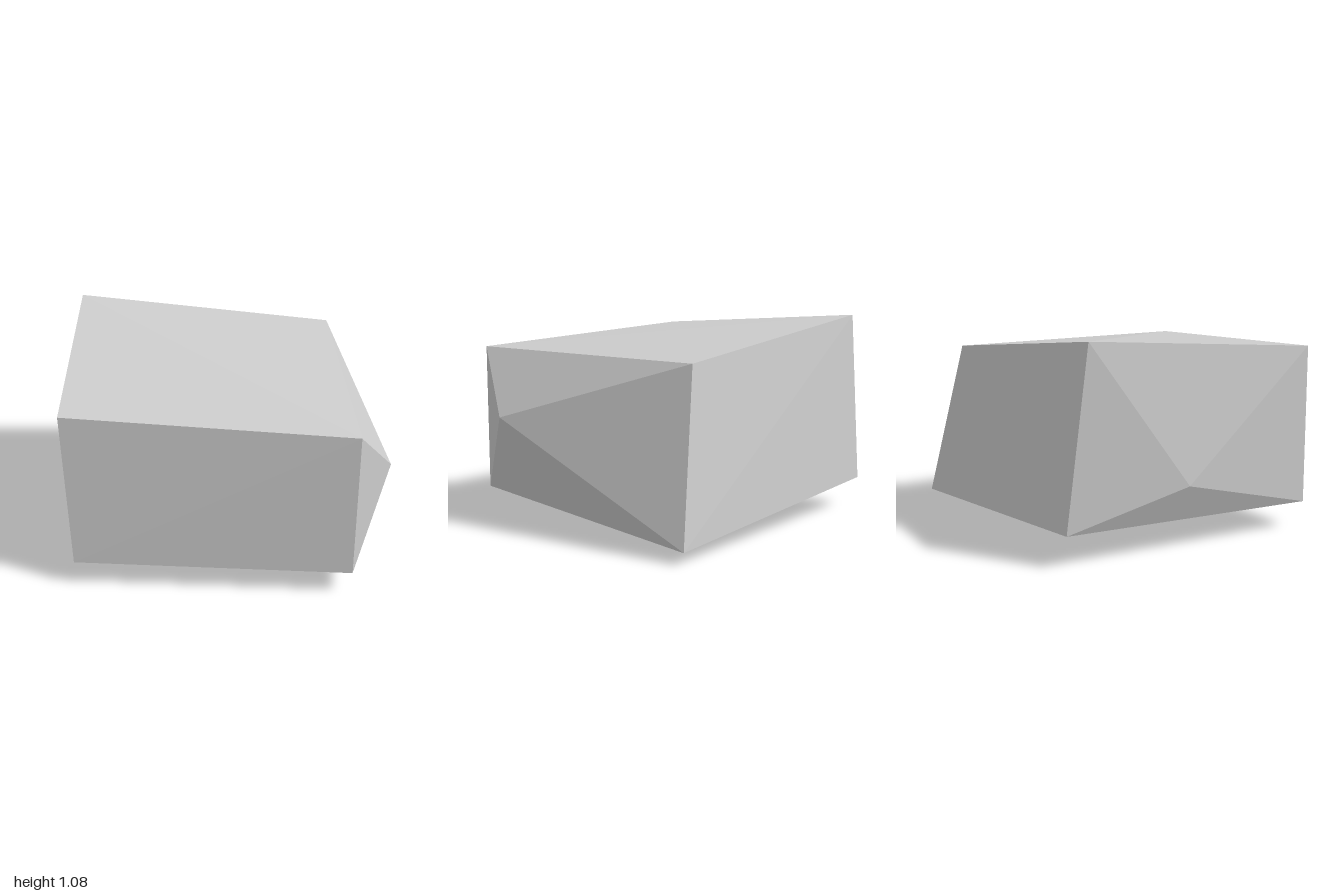
import * as THREE from 'three';

// Corner points of the boulder: two four-corner rings and three bulges
const topRing = [[-1, 0.98, 0.38], [0.36, 0.92, 0.95], [0.76, 0.92, -0.42], [-0.59, 1.08, -0.88]];
const bottomRing = [[-0.98, 0.14, 0.41], [0.355, 0.13, 0.95], [1, 0.06, -0.47], [-0.51, 0.16, -0.95]];
const rightBulge = [0.66, 0.58, 0.7];
const leftBulge = [-0.8, 0.34, -0.37];
const underside = [0.32, 0, -0.09];

// Closes a loop of corners with a fan around one point
function fan(loop, tip) {
  return loop.flatMap((p, i) => [p, loop[(i + 1) % loop.length], tip]);
}

export function createModel() {
  const [a, d, c, b] = topRing;
  const [e, f, g, h] = bottomRing;

  const triangles = [
    a, d, b, d, c, b, // top
    a, e, d, e, f, d, // front
    c, g, b, g, h, b, // back
    ...fan([d, f, g, c], rightBulge),
    ...fan([b, h, e, a], leftBulge),
    ...fan([h, g, f, e], underside),
  ];

  const geometry = new THREE.BufferGeometry();
  geometry.setAttribute('position', new THREE.Float32BufferAttribute(triangles.flat(), 3));
  geometry.computeVertexNormals(); // unshared corners keep every facet flat

  const stone = new THREE.MeshStandardMaterial({ color: 0xcccccc });
  stone.name = 'stone grey';

  const boulder = new THREE.Mesh(geometry, stone);
  boulder.name = 'boulder';

  const model = new THREE.Group();
  model.name = 'rock';
  model.add(boulder);
  return model;
}
